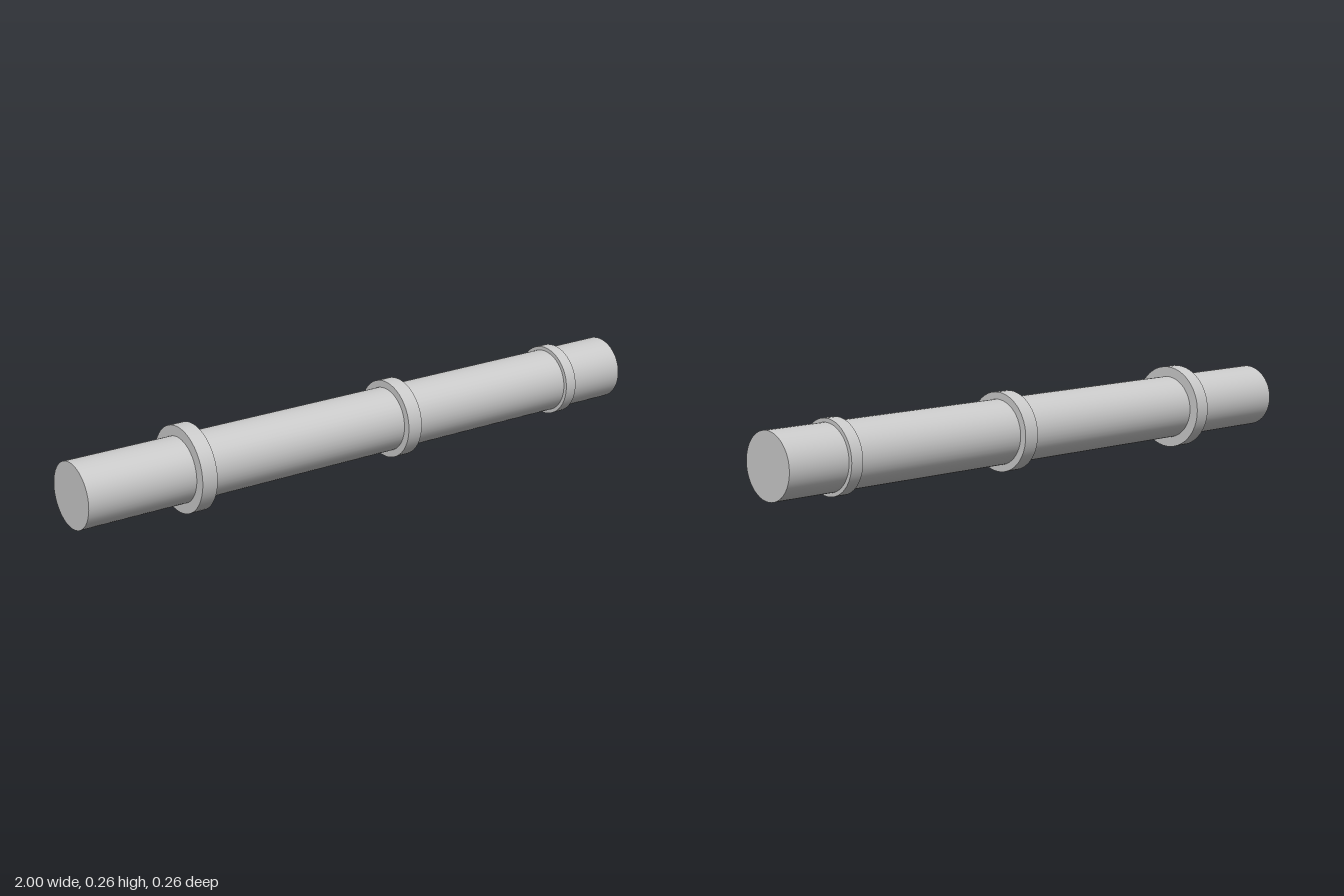
import * as THREE from 'three';

const AXIS_Y = 0.132;
const SEGMENTS = 48;

export function createModel() {
  const model = new THREE.Group();
  model.name = 'ringedRod';
  const material = new THREE.MeshStandardMaterial({ color: 0xcccccc });

  const add = (name, geometry, x) => {
    geometry.rotateZ(-Math.PI / 2); // lay the axis along x
    const mesh = new THREE.Mesh(geometry, material);
    mesh.name = name;
    mesh.position.set(x, AXIS_Y, 0);
    model.add(mesh);
  };

  // Main rod with closed ends
  const rodRadius = 0.1;
  add('rod', new THREE.CylinderGeometry(rodRadius, rodRadius, 2, SEGMENTS), 0);

  // Square-edged collars, shrinking towards +x
  const collars = [
    { name: 'largeCollar', x: -0.625, radius: 0.132, width: 0.05 },
    { name: 'middleCollar', x: 0.125, radius: 0.122, width: 0.05 },
    { name: 'smallCollar', x: 0.777, radius: 0.112, width: 0.04 },
  ];
  for (const { name, x, radius, width } of collars) {
    add(name, new THREE.CylinderGeometry(radius, radius, width, SEGMENTS), x);
  }

  return model;
}
